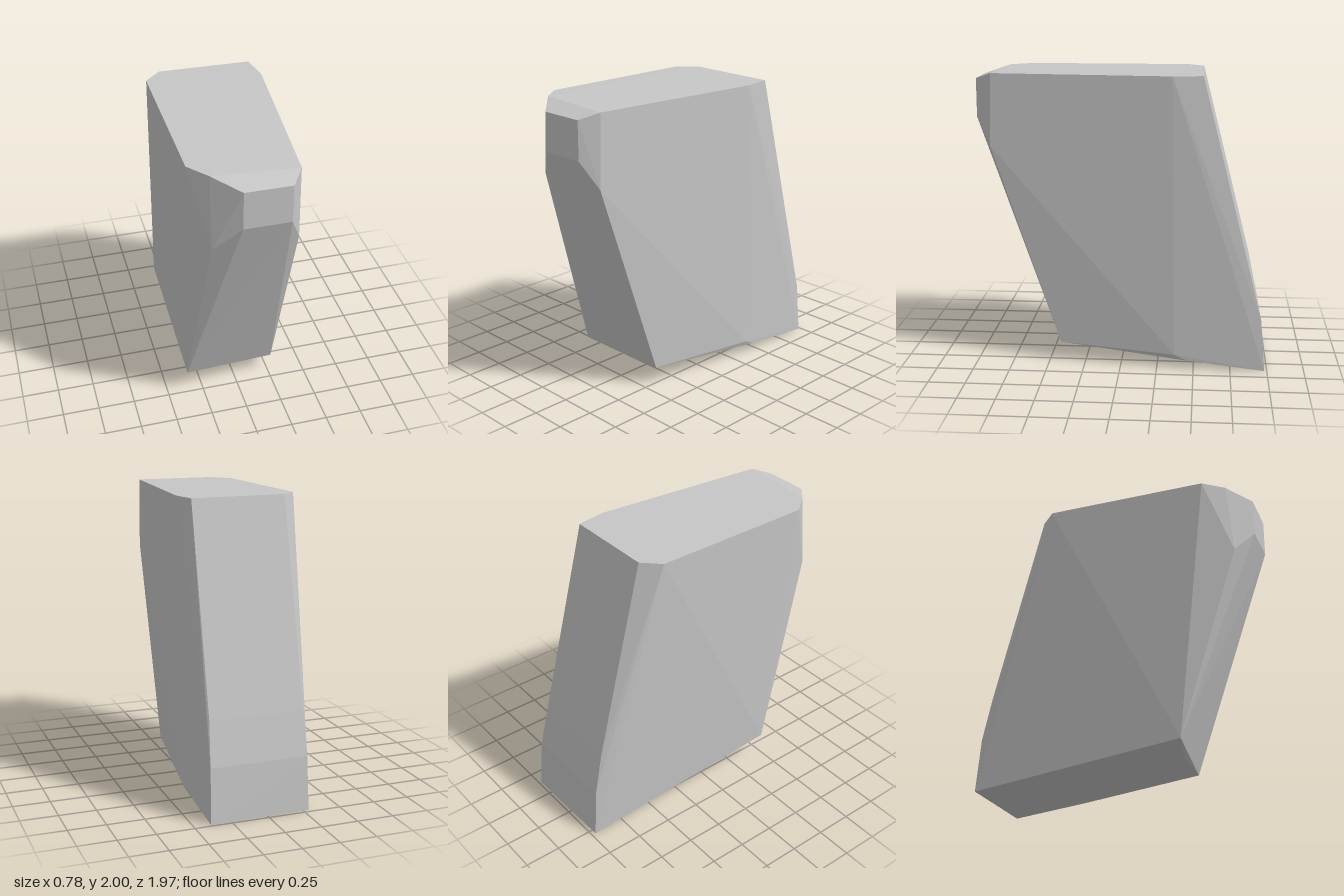
import * as THREE from 'three';
import { ConvexGeometry } from 'three/addons/geometries/ConvexGeometry.js';

export function createModel() {
  const group = new THREE.Group();
  group.name = 'rock';
  const stone = new THREE.MeshStandardMaterial({ color: 0xc6c6c6 });
  stone.name = 'light grey stone';

  const corners = [
    // flat top outline
    [-0.39, 2, -0.43], [-0.28, 2, -0.54], [0.355, 1.995, -0.54], [0.388, 1.995, -0.34],
    [0.272, 1.995, 0.87], [-0.28, 2, 0.83], [-0.39, 2, 0.69],
    // small facet on the leaning front
    [-0.115, 1.953, 0.983], [0.192, 1.953, 0.983], [0.192, 1.695, 0.983], [-0.115, 1.695, 0.983],
    // chamfer ends below the facet
    [-0.28, 1.5, 0.875], [0.272, 1.51, 0.885],
    // front foot
    [-0.36, 0.17, 0.49], [-0.07, 0.13, 0.43], [0.272, 0.13, 0.42],
    [0.388, 0.1, -0.37], [0.386, 0.06, -0.45],
    // bent lower back
    [-0.28, 0.65, -0.885], [0.365, 0.65, -0.89],
    [-0.285, 0.36, -0.945], [0.38, 0.36, -0.953],
    [-0.29, 0, -0.972], [0.388, 0, -0.983],
  ].map((p) => new THREE.Vector3(...p));

  const rock = new THREE.Mesh(new ConvexGeometry(corners), stone);
  rock.name = 'stoneBlock';
  group.add(rock);
  return group;
}
